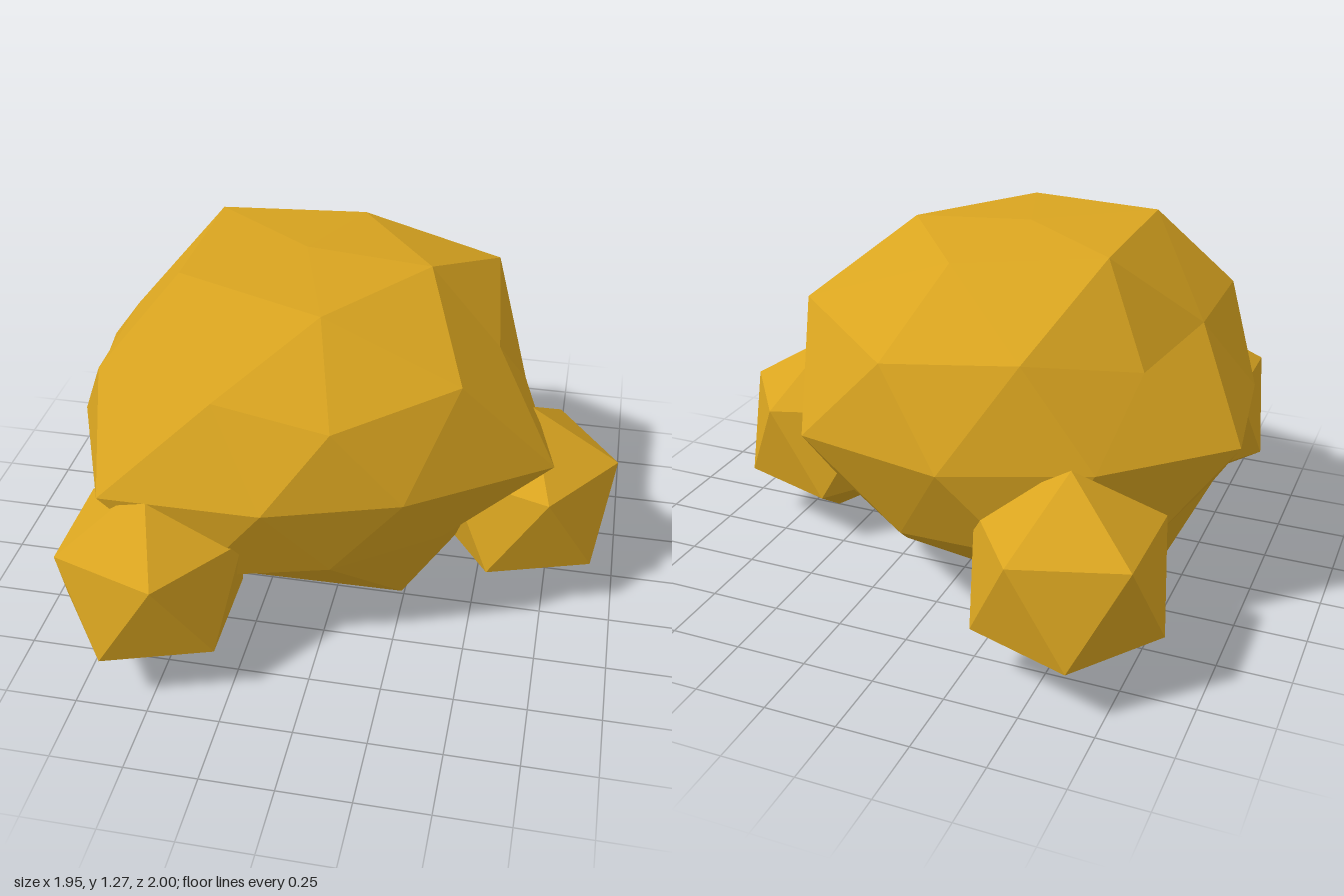
import * as THREE from 'three';

const CENTRE = new THREE.Vector3(-0.15, 0.68, 0);
const SQUASH = 0.8;

// Ring of points about the vertical axis: radii r, start angle (deg), and rise per unit radius
function ring(radii, startDeg, slope) {
  return radii.map((r, i) => {
    const a = THREE.MathUtils.degToRad(startDeg + (i * 360) / radii.length);
    const s = (Array.isArray(slope) ? slope[i % 2] : slope) * SQUASH;
    return [r * Math.cos(a), r * s, r * Math.sin(a)];
  });
}

// Uneven boulder: an icosahedron split once, each corner pushed in or out along its own ray
function boulderGeometry() {
  const top = [0, 0.59, 0];
  const bottom = [0, -0.645, 0];
  const crown = ring([0.43, 0.433, 0.458, 0.45, 0.42], 0, 1.618);
  const shoulder = ring([0.675, 0.735, 0.67, 0.62, 0.76, 0.62, 0.655, 0.67, 0.757, 0.77], 0, [0.5, 0.618]);
  const middle = ring([0.95, 0.75, 0.75, 0.93, 0.8, 0.873, 0.78, 0.82, 0.89, 0.8], 18, 0);
  const hip = ring([0.7, 0.675, 0.628, 0.76, 0.7, 0.69, 0.7, 0.74, 0.68, 0.714], 0, [-0.618, -0.5]);
  const foot = ring([0.49, 0.42, 0.51, 0.431, 0.459], 36, -1.618);

  const pos = [];
  const tri = (a, b, c) => pos.push(...a, ...b, ...c);
  for (let k = 0; k < 5; k++) {
    const n = (k + 1) % 5;
    const j = 2 * k, j1 = j + 1, j2 = (j + 2) % 10, j3 = (j + 3) % 10;
    // Upper cap and crown band
    tri(top, crown[n], crown[k]);
    tri(crown[k], shoulder[j1], shoulder[j]);
    tri(crown[k], crown[n], shoulder[j1]);
    tri(crown[n], shoulder[j2], shoulder[j1]);
    // Lower cap and foot band
    tri(bottom, foot[k], foot[n]);
    tri(foot[k], hip[j1], hip[j2]);
    tri(foot[k], hip[j2], foot[n]);
    tri(foot[n], hip[j2], hip[j3]);
  }
  // Zigzag bands above and below the middle
  for (let j = 0; j < 10; j++) {
    const n = (j + 1) % 10;
    tri(shoulder[j], shoulder[n], middle[j]);
    tri(shoulder[n], middle[n], middle[j]);
    tri(hip[n], hip[j], middle[j]);
    tri(hip[n], middle[j], middle[n]);
  }
  const geo = new THREE.BufferGeometry();
  geo.setAttribute('position', new THREE.Float32BufferAttribute(pos, 3));
  geo.computeVertexNormals();
  return geo;
}

export function createModel() {
  const model = new THREE.Group();
  model.name = 'rockCluster';
  const gold = new THREE.MeshStandardMaterial({ color: 0xdaa520, flatShading: true });
  gold.name = 'gold';

  const boulder = new THREE.Mesh(boulderGeometry(), gold);
  boulder.name = 'boulder';
  boulder.position.copy(CENTRE);
  model.add(boulder);

  // Small stones, standing on a corner, spaced evenly round the boulder
  const stoneGeo = new THREE.IcosahedronGeometry(0.36, 0);
  stoneGeo.rotateX(-Math.atan((1 + Math.sqrt(5)) / 2));
  stoneGeo.rotateY(Math.PI / 2);
  ['leftStone', 'frontStone', 'backStone'].forEach((name, i) => {
    const a = (i * Math.PI * 2) / 3;
    const stone = new THREE.Mesh(stoneGeo, gold);
    stone.name = name;
    stone.position.set(CENTRE.x + 0.8 * Math.cos(a), 0.36, 0.8 * Math.sin(a));
    model.add(stone);
  });
  return model;
}
